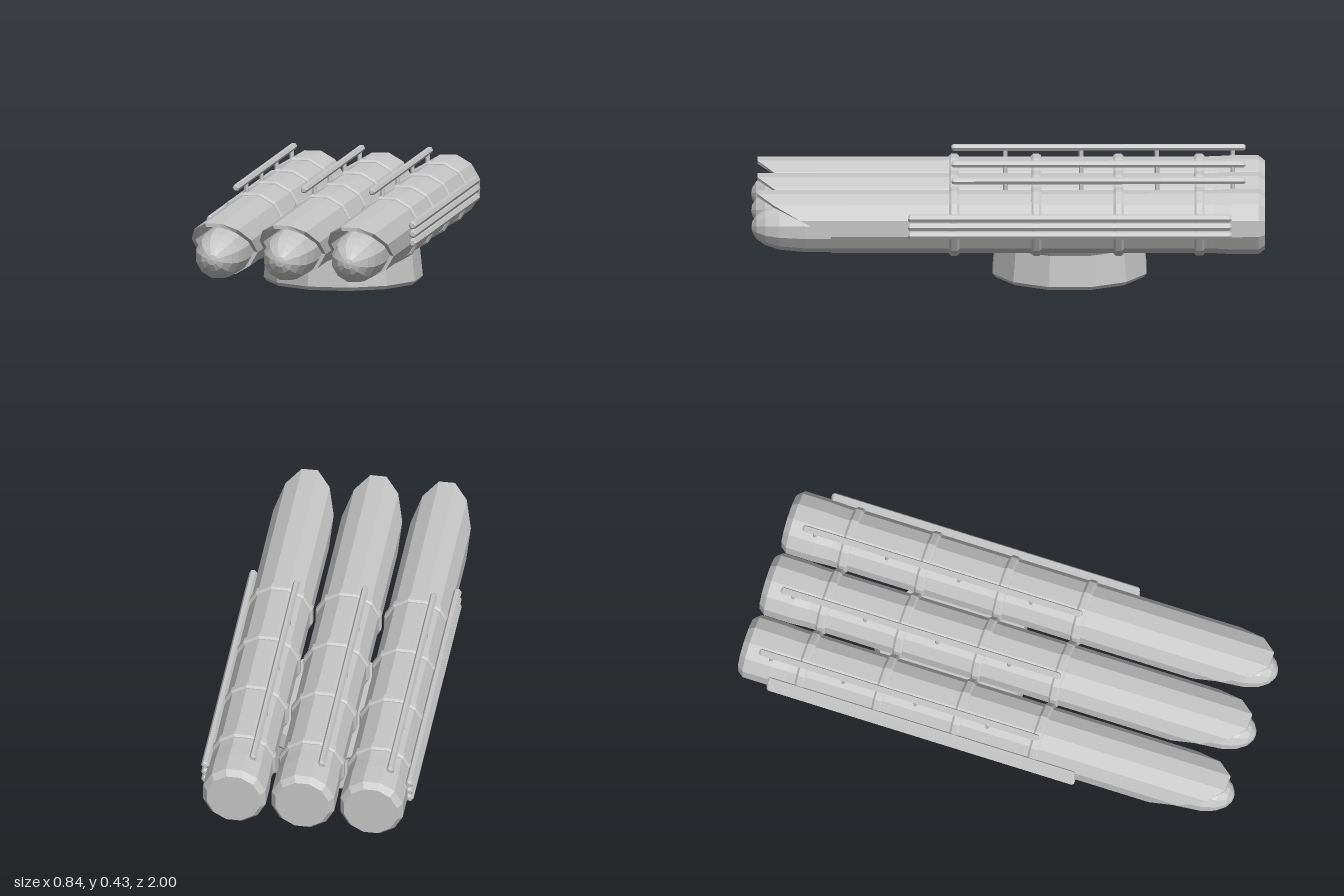
import * as THREE from 'three';

const grey = new THREE.MeshStandardMaterial({ color: 0xc6c6c6, flatShading: true });
grey.name = 'grey metal';

// Faceted solid turned from [radius to flat, position] pairs, with flats facing the axes
function turned(profile, sides) {
  const k = 1 / Math.cos(Math.PI / sides);
  const points = profile.map(([r, y]) => new THREE.Vector2(r * k, y));
  return new THREE.LatheGeometry(points, sides, Math.PI / sides, Math.PI * 2);
}

// The same solid laid along z
function turnedZ(profile, sides) {
  return turned(profile, sides).rotateX(Math.PI / 2);
}

function add(parent, name, geometry, x = 0, y = 0, z = 0) {
  const mesh = new THREE.Mesh(geometry, grey);
  mesh.name = name;
  mesh.position.set(x, y, z);
  parent.add(mesh);
}

// Launch tube: hollow front, with the upper half drawn out into a slanted hood
function tubeGeometry() {
  const front = 0.69;
  const g = turnedZ([
    [0, -1], [0.104, -1], [0.123, -0.975], [0.123, -0.87], [0.119, -0.8],
    [0.119, front], [0.105, front], [0.105, 0.45], [0, 0.45],
  ], 12);
  const p = g.attributes.position;
  for (let i = 0; i < p.count; i++) {
    if (p.getZ(i) < front - 0.01) continue;
    const h = p.getY(i) / Math.hypot(p.getX(i), p.getY(i));
    const reach = h > 0.9 ? 0.285 : h > 0.6 ? 0.225 : h > 0.2 ? 0.12 : 0;
    p.setZ(i, front + reach);
  }
  return g;
}

// Hexagonal rod with bevelled ends
function rodGeometry(back, front, r) {
  return turnedZ([
    [0, back], [r * 0.6, back], [r, back + 0.008],
    [r, front - 0.008], [r * 0.6, front], [0, front],
  ], 6);
}

export function createModel() {
  const model = new THREE.Group();
  model.name = 'tripleLauncher';

  // Twelve-sided pedestal with an overhanging upper collar
  add(model, 'base', turned([
    [0, 0], [0.288, 0], [0.3, 0.015], [0.288, 0.137],
    [0.3, 0.155], [0.285, 0.21], [0, 0.21],
  ], 12), 0, 0, -0.24);

  const tube = tubeGeometry();
  const missile = turnedZ([
    [0, 0.5], [0.095, 0.5], [0.095, 0.79], [0.086, 0.89],
    [0.069, 0.945], [0.045, 0.98], [0.02, 0.996], [0, 1],
  ], 12);
  const band = turnedZ([
    [0.11, -0.02], [0.122, -0.02], [0.129, -0.011],
    [0.129, 0.011], [0.122, 0.02], [0.11, 0.02],
  ], 12);
  const topRail = rodGeometry(-0.925, 0.22, 0.012);
  const post = new THREE.CylinderGeometry(0.009, 0.009, 0.05, 6);

  // Three tubes, each with a missile, bands and a top rail
  for (const x of [-0.27, 0, 0.27]) {
    const unit = new THREE.Group();
    unit.name = 'launchUnit';
    unit.position.x = x;
    model.add(unit);
    add(unit, 'tube', tube, 0, 0.271, 0);
    add(unit, 'missile', missile, 0, 0.25, 0);
    for (const z of [0.21, -0.11, -0.43, -0.745]) add(unit, 'band', band, 0, 0.271, z);
    add(unit, 'topRail', topRail, -0.064, 0.418, 0);
    for (const z of [0.01, -0.285, -0.58, -0.875]) add(unit, 'railPost', post, -0.064, 0.392, z);
  }

  // Three rods along each outer side
  const sideRail = rodGeometry(-0.87, 0.39, 0.014);
  for (const side of [-1, 1]) {
    for (const y of [0.248, 0.282, 0.316]) add(model, 'sideRail', sideRail, side * 0.402, y, 0);
  }

  return model;
}
